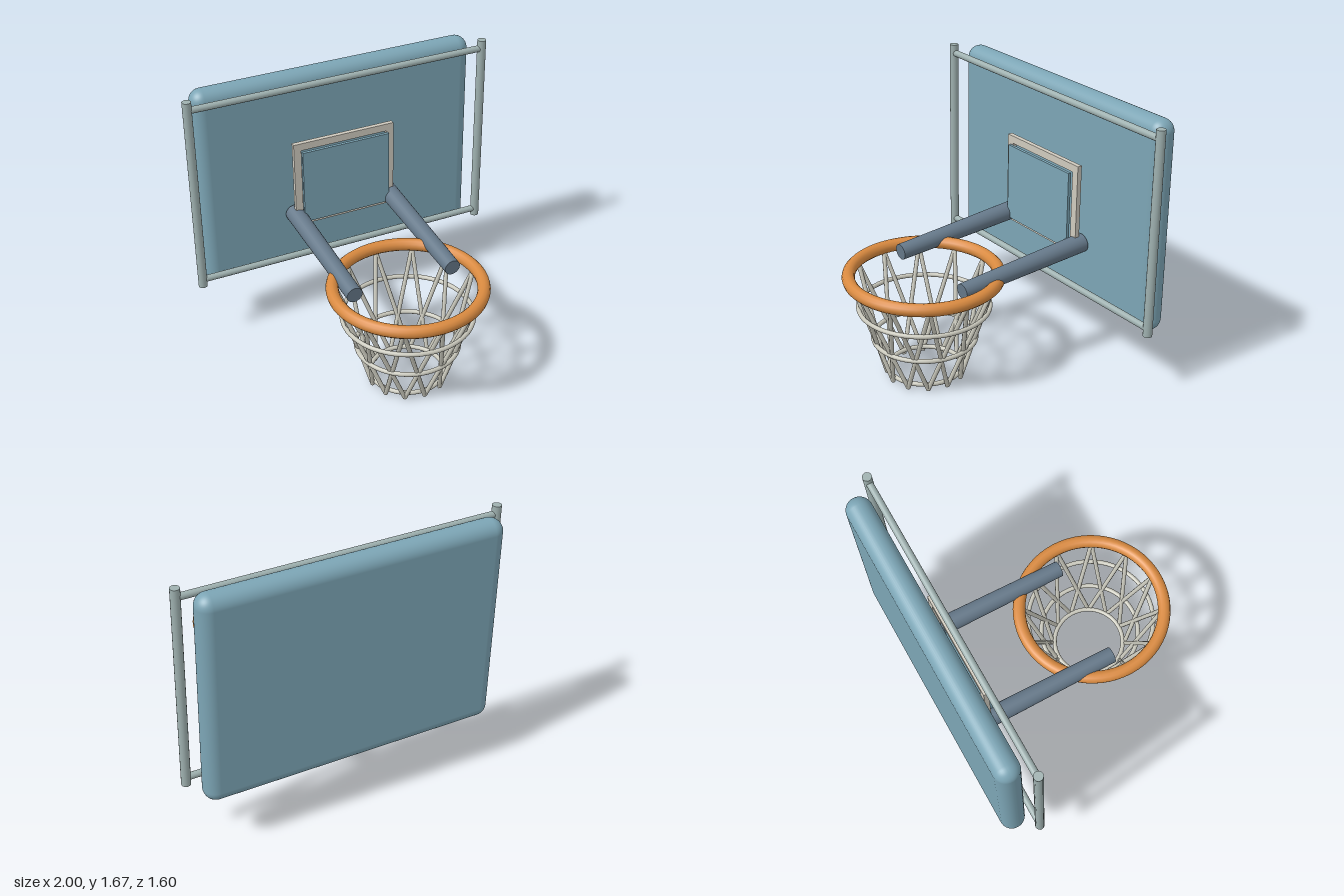
import * as THREE from 'three';
import { RoundedBoxGeometry } from 'three/addons/geometries/RoundedBoxGeometry.js';

const mat = (name, color) => {
  const m = new THREE.MeshStandardMaterial({ color });
  m.name = name;
  return m;
};

export function createModel() {
  const model = new THREE.Group();
  model.name = 'basketballHoop';
  const boardBlue = mat('board blue', 0x7ca5b5);
  const frameGrey = mat('frame grey', 0x9fb1b0);
  const armSlate = mat('arm slate', 0x66798a);
  const rimOrange = mat('rim orange', 0xd98a40);
  const netWhite = mat('net off-white', 0xc8c7bb);
  const targetWhite = mat('target cream', 0xcfcabe);

  const add = (parent, name, geometry, material, x = 0, y = 0, z = 0) => {
    const mesh = new THREE.Mesh(geometry, material);
    mesh.name = name;
    mesh.position.set(x, y, z);
    parent.add(mesh);
    return mesh;
  };
  // Straight round bar between two points, optionally tapered
  const bar = (parent, name, a, b, r0, r1, material, sides = 16) => {
    const dir = b.clone().sub(a);
    const mesh = add(parent, name, new THREE.CylinderGeometry(r1, r0, dir.length(), sides), material);
    mesh.position.copy(a).add(b).multiplyScalar(0.5);
    mesh.quaternion.setFromUnitVectors(new THREE.Vector3(0, 1, 0), dir.normalize());
    return mesh;
  };
  const V = (x, y, z) => new THREE.Vector3(x, y, z);
  const group = (name) => {
    const g = new THREE.Group();
    g.name = name;
    model.add(g);
    return g;
  };

  // Padded backboard
  add(model, 'backboard', new RoundedBoxGeometry(1.84, 1.335, 0.155, 6, 0.076), boardBlue, 0, 1.005, -0.7225);

  // Tubular frame in front of the board
  const frame = group('frame');
  for (const s of [-1, 1]) {
    bar(frame, 'framePost', V(s * 0.972, 0.385, -0.602), V(s * 0.972, 1.67, -0.602), 0.028, 0.028, frameGrey);
  }
  for (const y of [0.432, 1.613]) {
    bar(frame, 'frameRail', V(-0.972, y, -0.602), V(0.972, y, -0.602), 0.021, 0.021, frameGrey);
  }

  // Target outline and the panel inside it
  const rect = (path, w, y0, y1) =>
    path.moveTo(-w, y0).lineTo(w, y0).lineTo(w, y1).lineTo(-w, y1).closePath();
  const outline = new THREE.Shape();
  rect(outline, 0.338, 0.672, 1.248);
  const hole = new THREE.Path();
  rect(hole, 0.29, 0.715, 1.2);
  outline.holes.push(hole);
  add(model, 'targetOutline', new THREE.ExtrudeGeometry(outline, { depth: 0.03, bevelEnabled: false }),
    targetWhite, 0, 0, -0.598);
  add(model, 'targetPanel', new THREE.BoxGeometry(0.585, 0.492, 0.02), boardBlue, 0, 0.951, -0.546);

  // Two support arms running forward onto the rim
  for (const s of [-1, 1]) {
    bar(model, s > 0 ? 'leftArm' : 'rightArm', V(s * 0.324, 0.73, -0.635), V(s * 0.324, 0.665, 0.265),
      0.059, 0.05, armSlate, 24);
  }

  // Rim
  const cz = 0.312;
  const ring = (parent, name, r, tube, y, material) => {
    const geometry = new THREE.TorusGeometry(r, tube, 12, 64).rotateX(Math.PI / 2);
    return add(parent, name, geometry, material, 0, y, cz);
  };
  ring(model, 'rim', 0.448, 0.039, 0.66, rimOrange);

  // Net: crossing cords tied by three hoops
  const net = group('net');
  const count = 12;
  const at = (r, y, k) => {
    const a = (k / count) * Math.PI * 2;
    return V(r * Math.sin(a), y, cz + r * Math.cos(a));
  };
  for (let k = 0; k < count; k++) {
    for (const s of [-1, 1]) {
      bar(net, 'netCord', at(0.235, 0.005, k + s), at(0.44, 0.64, k), 0.0135, 0.0135, netWhite, 8);
    }
  }
  for (const [r, y] of [[0.395, 0.457], [0.312, 0.245], [0.225, 0.035]]) {
    ring(net, 'netHoop', r, 0.014, y, netWhite);
  }

  return model;
}
